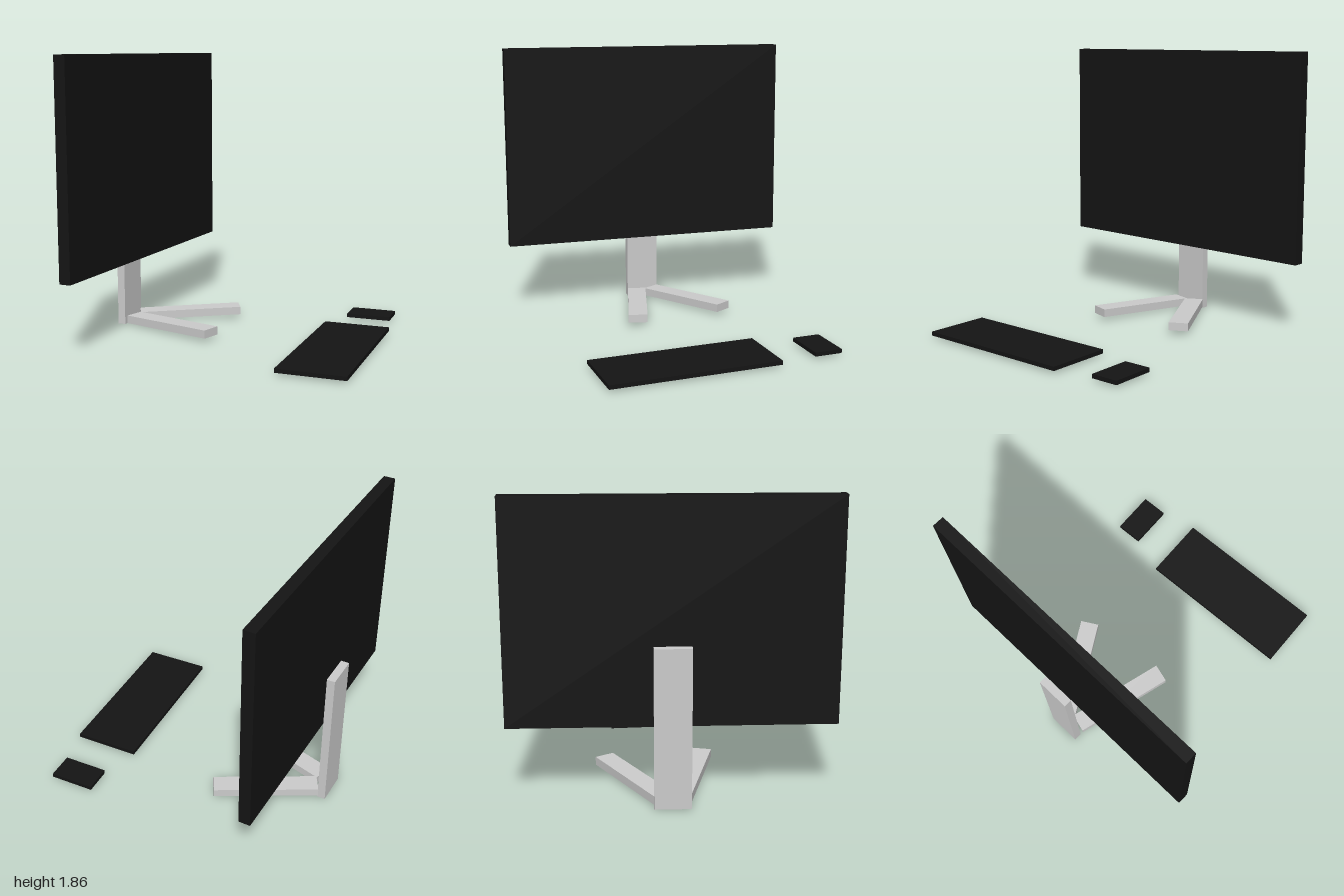
import * as THREE from 'three';

export function createModel() {
  const model = new THREE.Group();
  model.name = 'desktopMonitorSet';
  const grey = new THREE.MeshStandardMaterial({ color: 0xcccccc, flatShading: true });
  const black = new THREE.MeshStandardMaterial({ color: 0x141414, flatShading: true });

  // A box with a turn about y and a slight rise along its own x
  function addBox(name, size, position, material, turn = 0, rise = 0) {
    const mesh = new THREE.Mesh(new THREE.BoxGeometry(...size), material);
    mesh.name = name;
    mesh.position.set(...position);
    mesh.rotation.set(0, turn, rise, 'YXZ');
    model.add(mesh);
  }

  // Screen panel and the post behind it, turned slightly
  const screenTurn = -0.0385;
  addBox('screen', [0.077, 1.38, 1.997], [-0.7545, 1.17, 0], black, screenTurn);
  addBox('standPost', [0.054, 0.993, 0.225], [-0.888, 0.4965, -0.008], grey, screenTurn);

  // Two splayed feet rising gently toward their tips
  const feet = [
    ['rightFoot', [-0.5225, 0.045, -0.23], 0.499],
    ['leftFoot', [-0.49, 0.045, 0.15], -0.295],
  ];
  for (const [name, position, turn] of feet) {
    addBox(name, [0.702, 0.054, 0.13], position, grey, turn, 0.022);
  }

  // Keyboard and mouse lying in front of the screen
  addBox('keyboard', [0.442, 0.026, 1.105], [0.682, 0.028, 0.222], black, 0.02);
  addBox('mouse', [0.302, 0.026, 0.184], [0.6825, 0.028, -0.676], black, 0.02);

  return model;
}
